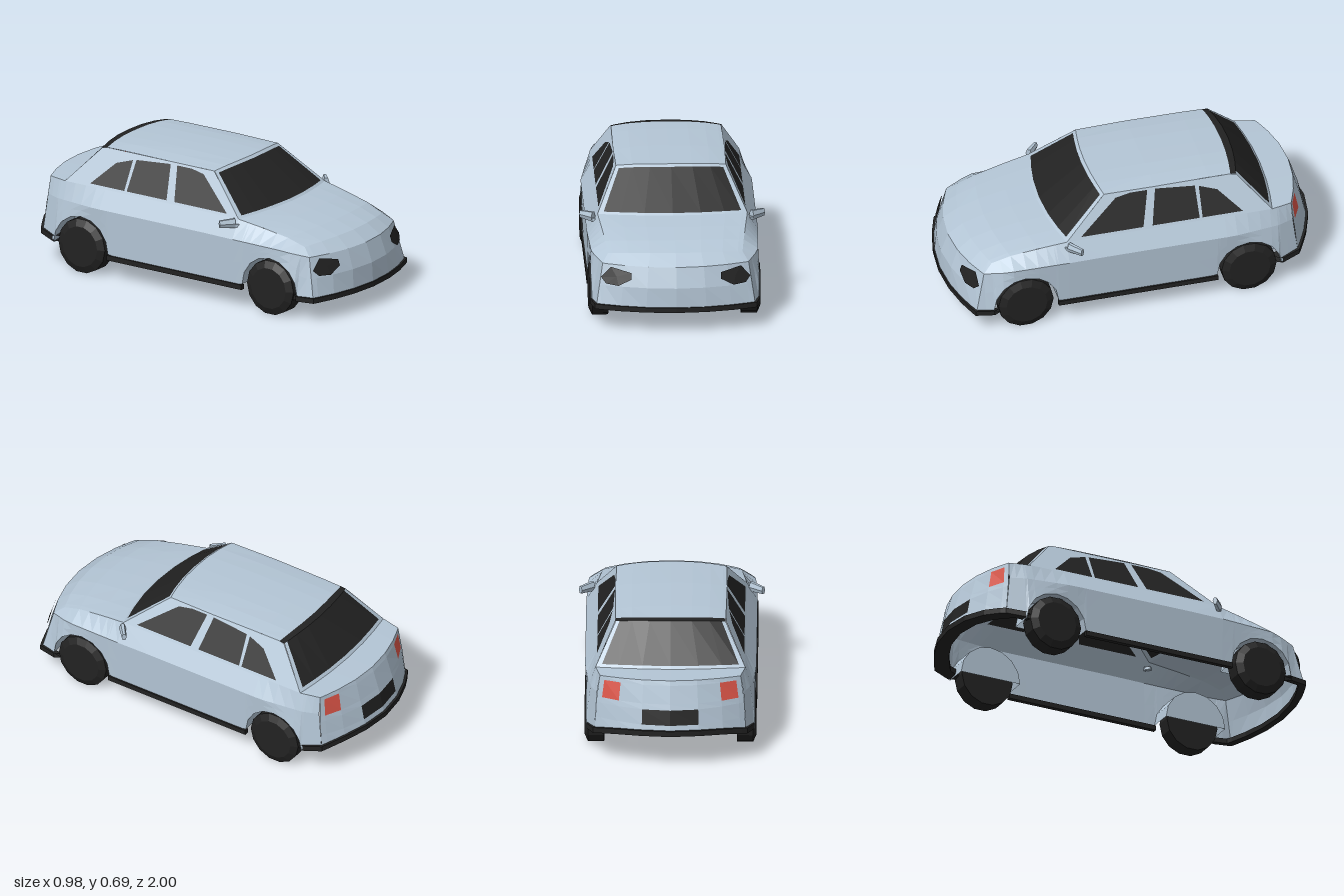
import * as THREE from 'three';

const material = (color) => new THREE.MeshStandardMaterial({ color, flatShading: true, side: THREE.DoubleSide });
const paint = material(0xb4c6d6), black = material(0x222222), red = material(0xdd5548);

const mix = THREE.MathUtils.lerp, clamp = THREE.MathUtils.clamp;

// Value at z in a list of [z, value] pairs running from front to rear
function at(list, z) {
  for (let i = 1; i < list.length; i++) {
    const [z0, a] = list[i - 1], [z1, b] = list[i];
    if (z >= z1) return mix(a, b, clamp((z - z0) / (z1 - z0), 0, 1));
  }
  return list[list.length - 1][1];
}

function mesh(name, geometry, mat) {
  const m = new THREE.Mesh(geometry, mat);
  m.name = name;
  return m;
}

// Quad surface through rows of points; keep(row, column) picks the cells
function patch(rows, keep = () => true) {
  const pos = [];
  for (let r = 0; r < rows.length - 1; r++)
    for (let c = 0; c < rows[r].length - 1; c++) {
      if (!keep(r, c)) continue;
      const a = rows[r][c], b = rows[r][c + 1], d = rows[r + 1][c], e = rows[r + 1][c + 1];
      pos.push(...a, ...b, ...d, ...b, ...e, ...d);
    }
  const g = new THREE.BufferGeometry();
  g.setAttribute('position', new THREE.Float32BufferAttribute(pos, 3));
  g.computeVertexNormals();
  return g;
}

// Centre skin rows, front bumper over the roof to the tail:
// centre y, centre z, then edge x, y, z
const skin = [
  [.12, .99, .42, .12, .90], [.24, .983, .4025, .2325, .875], [.345, .945, .385, .345, .85],
  [.40, .865, .355, .385, .80], [.435, .75, .365, .42, .70], [.462, .60, .38, .45, .55],
  [.48, .46, .395, .475, .40], [.49, .447, .39, .485, .388], [.673, .216, .296, .658, .184],
  [.685, .20, .29, .67, .17], [.692, -.1, .295, .672, -.1], [.69, -.4, .292, .672, -.4],
  [.685, -.545, .29, .67, -.52], [.682, -.585, .29, .665, -.55], [.494, -.748, .388, .488, -.708],
  [.48, -.76, .395, .475, -.72], [.48, -.912, .37, .475, -.83], [.455, -.922, .374, .455, -.831],
  [.36, -.952, .387, .36, -.839], [.33, -.962, .39, .33, -.843], [.25, -.98, .394, .25, -.851],
  [.2, -.994, .40, .165, -.86],
];
const columns = [-1, -.93, -.7, -.38, 0, .38, .7, .93, 1];
const skinPoint = ([yc, zc, x, y, z], s) =>
  [x * s, mix(yc, y, Math.abs(s) ** 3), mix(zc, z, s * s)];

// What each cell of the centre skin is made of
function cellPart(r, c) {
  const k = Math.min(c, 7 - c);
  if (r === 7 && k > 0) return 'windshield';
  if (r === 12) return 'rearSpoiler';
  if (r === 13 && k > 0) return 'rearWindow';
  if (r === 17 && k === 1) return 'tailLights';
  if (r === 19 && k === 3) return 'rearPlate';
  return 'bodyCentre';
}

// Lower side rows as [z, value] lists
const bottomX = [[.9, .42], [.78, .445], [-.75, .445], [-.86, .40]];
const bottomY = [[.9, .12], [-.45, .12], [-.76, .15], [-.86, .165]];
const shoulderX = [[.85, .385], [.72, .44], [.4, .452], [-.5, .452], [-.75, .42], [-.835, .387]];
const shoulderY = [[.85, .345], [.7, .37], [.3, .38], [-.835, .38]];
const beltX = [[.8, .355], [.7, .365], [.55, .38], [.4, .395], [-.72, .395], [-.83, .37]];
const beltY = [[.8, .385], [.7, .42], [.55, .45], [.4, .475], [-.83, .475]];
const axles = [.633, -.584], archR = .175, archY = .14;

function sidePanel() {
  const stations = [.9, .85, .4, .2, -.05, -.3, -.8, -.83, -.86];
  for (const a of axles)
    for (let k = 0; k <= 8; k++) stations.push(a + archR * Math.cos(k * Math.PI / 8));
  stations.sort((a, b) => b - a);
  const rows = [[], [], [], []];
  for (const z of stations) {
    let y = at(bottomY, z);
    for (const a of axles)
      if (Math.abs(z - a) <= archR + 1e-6)
        y = Math.max(y, archY + Math.sqrt(Math.max(0, archR ** 2 - (z - a) ** 2)));
    const zs = clamp(z, -.835, .85), zt = clamp(z, -.83, .8);
    const low = [at(bottomX, z), y, z];
    const mid = [at(shoulderX, zs), at(shoulderY, zs), zs];
    rows[0].push(low);
    rows[1].push(low.map((v, i) => mix(v, mid[i], .5)));
    rows[2].push(mid);
    rows[3].push([at(beltX, zt), at(beltY, zt), zt]);
  }
  return patch(rows);
}

// Flat outline of [z, y] points laid on the sloping cabin side
function cabinPanel(outline, holes = []) {
  const toVectors = (list) => list.map(([z, y]) => new THREE.Vector2(-z, y));
  const shape = new THREE.Shape(toVectors(outline));
  for (const h of holes) shape.holes.push(new THREE.Path(toVectors(h)));
  const g = new THREE.ShapeGeometry(shape), p = g.attributes.position;
  for (let i = 0; i < p.count; i++) {
    const z = -p.getX(i), y = p.getY(i);
    p.setXYZ(i, .395 - (y - .475) * .538, y, z);
  }
  g.computeVertexNormals();
  return g;
}
const cabinOutline = [[.4, .475], [-.72, .475], [-.55, .665], [-.52, .67], [.17, .67]];
const sideWindows = [
  [[.32, .488], [-.02, .488], [-.065, .658], [.03, .658], [.11, .645]],
  [[-.07, .488], [-.327, .488], [-.322, .642], [-.107, .658]],
  [[-.343, .488], [-.563, .488], [-.44, .608], [-.343, .638]],
];

// Rectangular bar following a path of points around the front or rear
function bumper(path, height, depth, drop, end) {
  const ring = ([x, y, z]) => {
    const ox = x * 1.02, oz = z + end * .006, ix = x * (1 - depth), iz = z - end * depth;
    return [[ox, y - drop, oz], [ox, y - drop + height, oz], [ix, y - drop + height, iz],
      [ix, y - drop, iz], [ox, y - drop, oz]];
  };
  return patch(path.map(ring));
}

// Headlight: faceted fan resting on the front skin
function headlight() {
  const rim = [[.233, .313], [.339, .335], [.39, .278], [.365, .248], [.30, .243], [.233, .28]];
  const place = ([x, y]) => {
    const i = y > .24 ? 1 : 0, t = (y - skin[i][0]) / (skin[i + 1][0] - skin[i][0]);
    const row = skin[i].map((v, k) => mix(v, skin[i + 1][k], t));
    const s = x / row[2];
    return [x + .004, y, mix(row[1], row[4], s * s) + .01];
  };
  const hub = place([.31, .288]);
  const points = [...rim, rim[0]].map(place);
  return patch([points.map(() => hub), points]);
}

function wheel(z) {
  const g = new THREE.Group();
  g.name = 'wheel';
  const tyre = mesh('tyre', new THREE.CylinderGeometry(.15, .15, .085, 14), black);
  const rim = mesh('wheelFace', new THREE.CylinderGeometry(.112, .15, .018, 14), black);
  tyre.position.y = .0425;
  rim.position.y = .094;
  g.add(tyre, rim);
  g.rotation.z = -Math.PI / 2;
  g.position.set(.35, .15, z);
  return g;
}

// Half-round liner with a closed inner wall
function wheelWell(z) {
  const inner = [], outer = [], hub = [];
  for (let k = 0; k <= 8; k++) {
    const a = k * Math.PI / 8, y = archY + archR * Math.sin(a), zz = z + archR * Math.cos(a);
    outer.push([.445, y, zz]);
    inner.push([.31, y, zz]);
    hub.push([.31, archY, z]);
  }
  return mesh('wheelWell', patch([outer, inner, hub]), paint);
}

function mirror() {
  const g = new THREE.Group();
  g.name = 'doorMirror';
  const pod = mesh('mirrorHousing', new THREE.CylinderGeometry(.022, .03, .085, 6), paint);
  pod.rotation.z = -Math.PI / 2;
  pod.scale.z = .6;
  const stalk = mesh('mirrorStalk', new THREE.BoxGeometry(.05, .016, .02), paint);
  stalk.position.set(-.045, -.014, 0);
  g.add(pod, stalk);
  g.position.set(.45, .458, .365);
  g.rotation.y = .7;
  return g;
}

export function createModel() {
  const car = new THREE.Group();
  car.name = 'car';

  // Nose, hood, roof, glass and tail
  const grid = skin.map((row) => columns.map((s) => skinPoint(row, s)));
  const parts = { bodyCentre: paint, windshield: black, rearSpoiler: black, rearWindow: black,
    tailLights: red, rearPlate: black };
  for (const [name, mat] of Object.entries(parts))
    car.add(mesh(name, patch(grid, (r, c) => cellPart(r, c) === name), mat));

  // Bumper strips
  const front = [[-.44, .12, .80], ...grid[0], [.44, .12, .80]];
  const rear = [[-.435, .15, -.76], ...grid[grid.length - 1], [.435, .15, -.76]];
  car.add(mesh('frontBumper', bumper(front, .027, .03, .01, 1), black));
  car.add(mesh('rearBumper', bumper(rear, .03, .07, .005, -1), black));

  // Each side, mirrored across the centre
  for (const side of [1, -1]) {
    const half = new THREE.Group();
    half.name = side > 0 ? 'leftSide' : 'rightSide';
    half.scale.x = side;
    half.add(mesh('bodySide', sidePanel(), paint));
    half.add(mesh('cabinSide', cabinPanel(cabinOutline, sideWindows), paint));
    for (const w of sideWindows) half.add(mesh('sideWindow', cabinPanel(w), black));
    const sill = mesh('sill', new THREE.BoxGeometry(.025, .027, .87), black);
    sill.position.set(.442, .122, .024);
    half.add(sill, mesh('headlight', headlight(), black), mirror());
    for (const z of axles) half.add(wheel(z), wheelWell(z));
    car.add(half);
  }
  return car;
}
